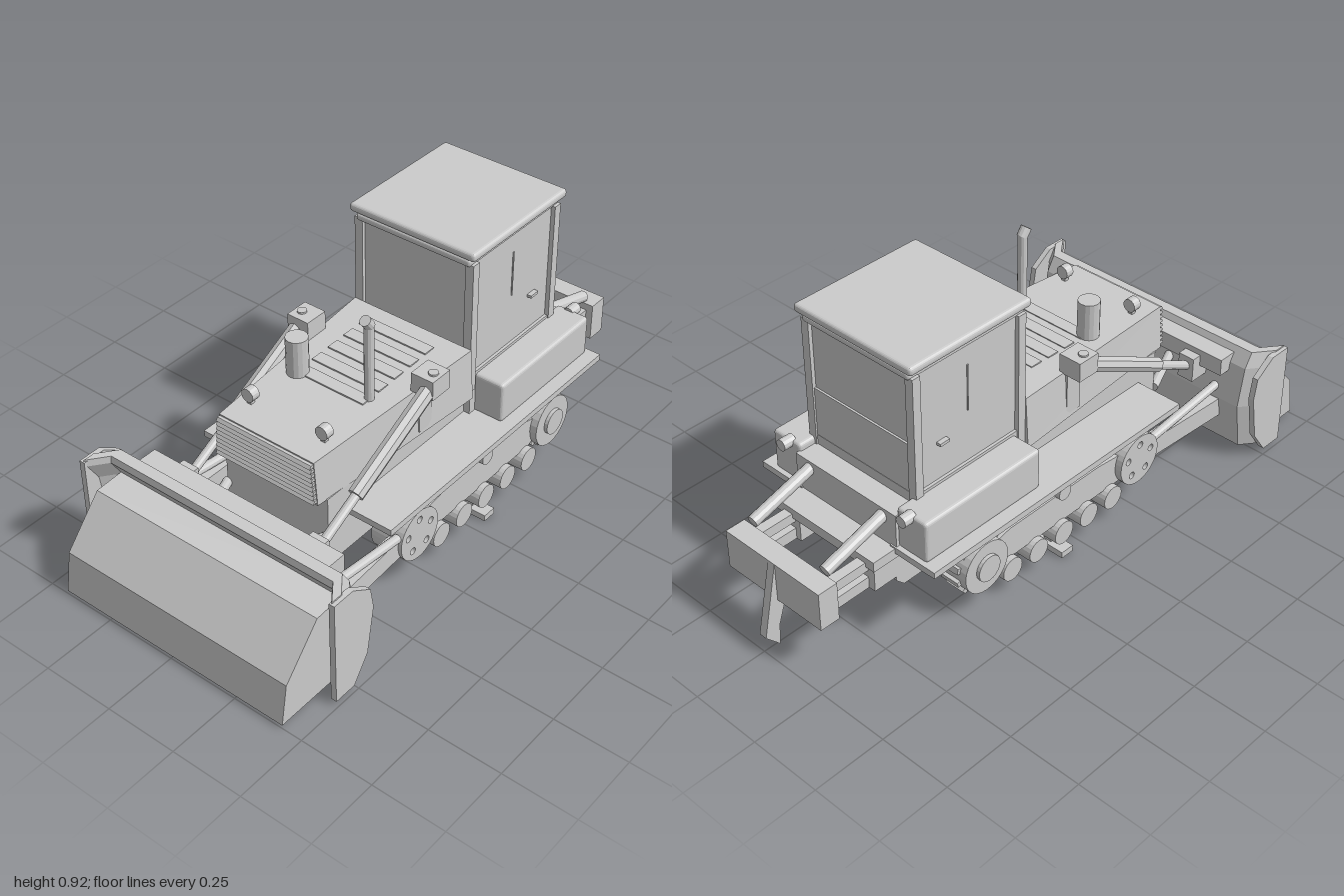
import * as THREE from 'three';
import { RoundedBoxGeometry } from 'three/addons/geometries/RoundedBoxGeometry.js';

const material = new THREE.MeshStandardMaterial({ color: 0xcccccc, flatShading: true });

export function createModel() {
  const model = new THREE.Group();

  const add = (name, geometry) => {
    const mesh = new THREE.Mesh(geometry, material);
    mesh.name = name;
    model.add(mesh);
    return mesh;
  };
  // Box given by its limits on each axis
  const box = (name, x0, x1, y0, y1, z0, z1, radius = 0) => {
    const size = [Math.abs(x1 - x0), y1 - y0, Math.abs(z1 - z0)];
    const g = radius ? new RoundedBoxGeometry(...size, 2, radius) : new THREE.BoxGeometry(...size);
    return add(name, g.translate((x0 + x1) / 2, (y0 + y1) / 2, (z0 + z1) / 2));
  };
  // Side profile of [z, y] points extruded across x
  const sideShape = (shape, x0, x1) => {
    const width = Math.abs(x1 - x0);
    const g = new THREE.ExtrudeGeometry(shape, { depth: width, bevelEnabled: false, curveSegments: 16 });
    return g.translate(0, 0, -width / 2).rotateY(-Math.PI / 2).translate((x0 + x1) / 2, 0, 0);
  };
  const profile = (name, points, x0, x1) =>
    add(name, sideShape(new THREE.Shape(points.map((p) => new THREE.Vector2(...p))), x0, x1));
  // Round bar between two points
  const rod = (name, a, b, radius, sides = 12) => {
    const from = new THREE.Vector3(...a), to = new THREE.Vector3(...b);
    const mesh = add(name, new THREE.CylinderGeometry(radius, radius, from.distanceTo(to), sides));
    mesh.position.copy(from).lerp(to, 0.5);
    mesh.quaternion.setFromUnitVectors(new THREE.Vector3(0, 1, 0), to.sub(from).normalize());
    return mesh;
  };
  const wheel = (name, x0, x1, y, z, radius, sides = 20) => rod(name, [x0, y, z], [x1, y, z], radius, sides);

  // Chassis
  profile('chassis', [[0.52, 0.18], [0.48, 0.14], [-0.62, 0.14], [-0.65, 0.17], [-0.65, 0.31], [0.52, 0.39]], -0.2, 0.2);
  box('chassisTop', -0.2, 0.2, 0.3, 0.39, -0.6, 0.52);

  // Tapered hood
  const hoodHalf = (z) => 0.232 - ((z + 0.13) / 0.685) * 0.047;
  const hoodTop = (z) => 0.565 - ((z + 0.13) / 0.685) * 0.025;
  const hood = new THREE.BoxGeometry(1, 1, 1);
  const hp = hood.attributes.position;
  for (let i = 0; i < hp.count; i++) {
    const z = hp.getZ(i) > 0 ? 0.555 : -0.13;
    const top = hp.getY(i) > 0;
    hp.setXYZ(i, Math.sign(hp.getX(i)) * (hoodHalf(z) + (top ? -0.003 : 0.008)), top ? hoodTop(z) : 0.387, z);
  }
  add('hood', hood);
  for (let i = 0; i < 9; i++) {
    const half = 0.19 - i * 0.0012;
    profile('grilleSlat', [[0.55, 0], [0.572, 0], [0.565, 0.011], [0.55, 0.011]].map(([z, y]) => [z, y + 0.398 + i * 0.0158]), -half, half);
  }
  for (let i = 0; i < 5; i++) {
    const z = -0.05 + i * 0.075;
    box('hoodRib', -0.13, 0.13, hoodTop(z) - 0.01, hoodTop(z) + 0.004, z - 0.022, z + 0.022);
  }

  // Exhaust, air cleaner and front lamps
  rod('exhaustPipe', [0.125, 0.54, 0.235], [0.125, 0.825, 0.235], 0.016);
  rod('exhaustTip', [0.125, 0.815, 0.232], [0.125, 0.842, 0.252], 0.018);
  rod('airCleaner', [-0.128, 0.54, 0.265], [-0.128, 0.68, 0.265], 0.036, 16);
  for (const x of [-0.142, 0.142]) {
    rod('frontLamp', [x, 0.577, 0.445], [x, 0.577, 0.475], 0.023, 16);
    box('lampFoot', x - 0.008, x + 0.008, 0.53, 0.565, 0.452, 0.468);
  }

  // Cab
  box('cabBody', -0.212, 0.212, 0.31, 0.87, -0.572, -0.143);
  box('cabBase', -0.222, 0.222, 0.31, 0.46, -0.58, -0.14);
  for (const x of [-0.212, 0.212]) {
    for (const z of [-0.145, -0.57]) box('cabPillar', x - 0.015, x + 0.015, 0.4, 0.87, z - 0.015, z + 0.015);
    const s = Math.sign(x);
    box('doorHandle', x, x + s * 0.016, 0.585, 0.595, -0.485, -0.447);
    box('doorSeam', x, x + s * 0.003, 0.64, 0.8, -0.36, -0.355);
  }
  box('rearCabPanel', -0.2, 0.2, 0.45, 0.63, -0.579, -0.57);
  box('cabUpperRim', -0.217, 0.217, 0.862, 0.888, -0.592, -0.122, 0.01);
  box('roof', -0.238, 0.238, 0.89, 0.92, -0.603, -0.115, 0.012);

  // Rear deck and ripper mount
  box('rearDeck', -0.212, 0.212, 0.3, 0.425, -0.655, -0.57);
  box('ripperMount', -0.21, 0.21, 0.27, 0.305, -0.745, -0.64);
  for (const s of [-1, 1]) {
    box('mountLug', s * 0.12, s * 0.2, 0.185, 0.275, -0.735, -0.645);
    box('ripperLowerArm', s * 0.14, s * 0.175, 0.185, 0.225, -0.885, -0.72);
    box('ripperUpperArm', s * 0.14, s * 0.175, 0.25, 0.285, -0.885, -0.72);
    rod('ripperCylinder', [s * 0.155, 0.4, -0.64], [s * 0.155, 0.33, -0.88], 0.02);
  }

  // Ripper beam and shank
  box('ripperBeam', -0.2, 0.2, 0.175, 0.31, -0.945, -0.875);
  profile('ripperShank', [[-0.875, 0.31], [-0.945, 0.31], [-1, 0.06], [-0.95, 0.005], [-0.945, 0.08], [-0.91, 0.18]], -0.014, 0.014);

  // Dozer blade with its filled front
  const boardPoints = [[0.7, 0.03], [0.675, 0.2], [0.7, 0.34], [0.73, 0.39], [0.77, 0.39], [0.775, 0.367], [0.735, 0.3], [0.72, 0.19], [0.76, 0.015]];
  profile('bladeBoard', boardPoints, -0.43, 0.43);
  profile('bladeFront', [[1, 0.012], [0.976, 0.15], [0.84, 0.303], [0.715, 0.31], [0.7, 0.1], [0.74, 0.012]], -0.43, 0.43);
  box('bladeStiffener', -0.37, 0.37, 0.31, 0.37, 0.65, 0.72);

  const idlerShape = new THREE.Shape().absarc(0, 0, 0.09, 0, Math.PI * 2);
  for (let i = 0; i < 5; i++) {
    const a = (i / 5) * Math.PI * 2 + 0.3;
    idlerShape.holes.push(new THREE.Path().absarc(Math.cos(a) * 0.057, Math.sin(a) * 0.057, 0.012, 0, Math.PI * 2, true));
  }

  for (const s of [-1, 1]) {
    // Angled blade wings and end plates
    const wing = profile('bladeWing', boardPoints, s * 0.43, s * 0.48);
    const wp = wing.geometry.attributes.position;
    for (let i = 0; i < wp.count; i++) wp.setZ(i, wp.getZ(i) + (Math.abs(wp.getX(i)) - 0.43) * 1.3);
    profile('bladeEndPlate', [[0.84, 0.015], [0.84, 0.385], [0.76, 0.385], [0.685, 0.335], [0.672, 0.26], [0.7, 0.1], [0.76, 0.015]], s * 0.473, s * 0.493);

    // Lift cylinders with brackets
    box('liftBracket', s * 0.2, s * 0.282, 0.555, 0.622, 0.05, 0.133);
    box('liftBracketPost', s * 0.2, s * 0.225, 0.4, 0.57, 0.06, 0.12);
    rod('bracketCap', [s * 0.255, 0.6, 0.095], [s * 0.255, 0.628, 0.095], 0.016);
    rod('liftCylinder', [s * 0.255, 0.585, 0.1], [s * 0.255, 0.397, 0.46], 0.026, 8);
    rod('liftRod', [s * 0.255, 0.4, 0.45], [s * 0.255, 0.305, 0.635], 0.015);
    box('liftClevis', s * 0.225, s * 0.285, 0.262, 0.35, 0.615, 0.69);

    // Push arms and braces
    const arm = box('pushArm', s * 0.3, s * 0.355, 0.125, 0.195, 0.22, 0.7);
    const ap = arm.geometry.attributes.position;
    for (let i = 0; i < ap.count; i++) if (ap.getZ(i) < 0.4 && Math.abs(ap.getX(i)) > 0.32) ap.setX(i, s * 0.33);
    rod('tiltBrace', [s * 0.33, 0.2, 0.36], [s * 0.33, 0.238, 0.69], 0.015);
    rod('innerBrace', [s * 0.2, 0.25, 0.52], [s * 0.13, 0.26, 0.69], 0.016);

    // Fender and side tank
    box('fender', s * 0.19, s * 0.37, 0.288, 0.31, -0.66, 0.44);
    box('sideTank', s * 0.205, s * 0.325, 0.305, 0.45, -0.645, -0.168, 0.012);
    rod('rearLamp', [s * 0.255, 0.44, -0.63], [s * 0.255, 0.44, -0.675], 0.02);

    // Track frame with its rollers
    profile('trackFrame', [[0.34, 0.14], [0.34, 0.2], [0.1, 0.225], [-0.3, 0.225], [-0.4, 0.2], [-0.4, 0.14], [-0.33, 0.112], [0.2, 0.112]], s * 0.235, s * 0.325);
    for (let i = 0; i < 5; i++) wheel('trackRoller', s * 0.215, s * 0.345, 0.08, 0.157 - i * 0.116, 0.041);
    wheel('carrierRoller', s * 0.19, s * 0.345, 0.24, -0.075, 0.027);
    box('guideFoot', s * 0.22, s * 0.36, 0, 0.022, -0.1, -0.05);
    box('guidePost', s * 0.27, s * 0.3, 0.015, 0.12, -0.085, -0.065);

    // Front idler and rear sprocket
    add('idler', sideShape(idlerShape, s * 0.235, s * 0.35)).position.set(0, 0.17, 0.275);
    wheel('idlerWeb', s * 0.25, s * 0.335, 0.17, 0.275, 0.08);
    wheel('sprocket', s * 0.22, s * 0.35, 0.17, -0.425, 0.09, 24);
    wheel('sprocketHub', s * 0.2, s * 0.362, 0.17, -0.425, 0.045);
    for (let i = 0; i < 12; i++) {
      const tooth = add('sprocketTooth', new THREE.BoxGeometry(0.07, 0.024, 0.02));
      const a = (i / 12) * Math.PI * 2 + 0.26;
      tooth.position.set(s * 0.29, 0.17 + Math.cos(a) * 0.089, -0.425 + Math.sin(a) * 0.089);
      tooth.rotation.x = a;
    }
  }
  return model;
}
